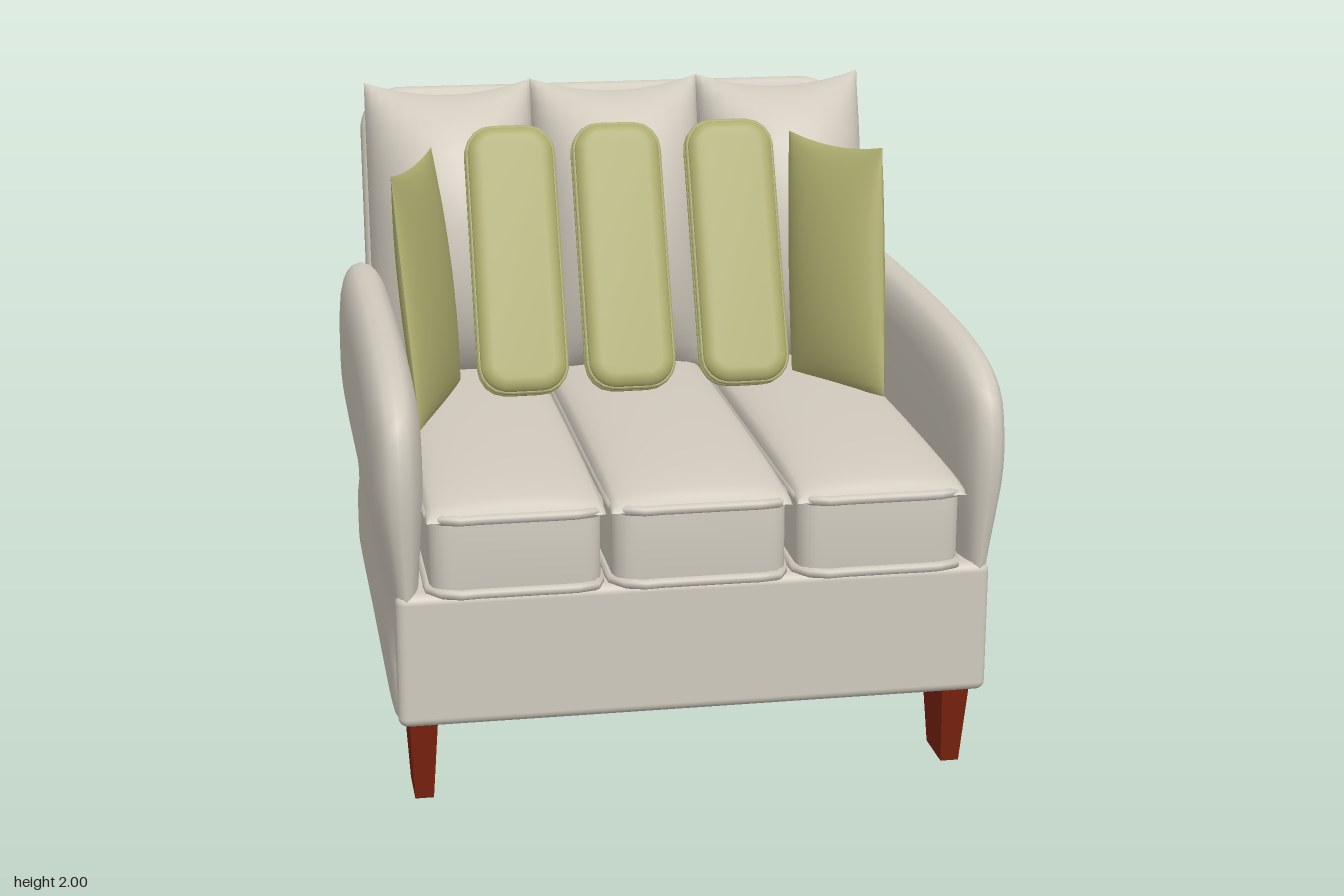
import * as THREE from 'three';
import { toCreasedNormals } from 'three/addons/utils/BufferGeometryUtils.js';
import { RoundedBoxGeometry } from 'three/addons/geometries/RoundedBoxGeometry.js';

const V = (x, y, z) => new THREE.Vector3(x, y, z);

// Rounded rectangle centred on the origin
function roundedRect(w, h, r) {
  const s = new THREE.Shape(), x = w / 2, y = h / 2, q = Math.PI / 2;
  s.absarc(x - r, y - r, r, 0, q);
  s.absarc(-x + r, y - r, r, q, 2 * q);
  s.absarc(-x + r, -y + r, r, 2 * q, 3 * q);
  s.absarc(x - r, -y + r, r, 3 * q, 4 * q);
  s.closePath();
  return s;
}

// Padded slab in the xy plane, centred in depth
function slabGeometry(w, h, r, thick, bevel, round) {
  const g = new THREE.ExtrudeGeometry(roundedRect(w - 2 * round, h - 2 * round, r), {
    depth: thick - 2 * bevel, bevelThickness: bevel, bevelSize: round, bevelSegments: 5, curveSegments: 8,
  });
  g.translate(0, 0, bevel - thick / 2);
  return toCreasedNormals(g, 0.8);
}

// Piped seam following a rounded rectangle
function pipingGeometry(w, h, r, radius) {
  const pts = roundedRect(w, h, r).getSpacedPoints(48).slice(0, -1).map((p) => V(p.x, p.y, 0));
  return new THREE.TubeGeometry(new THREE.CatmullRomCurve3(pts, true), 72, radius, 6, true);
}

// Knife-edged pillow stretched between four corners, bulging along its normal
function pillowGeometry([bl, br, tr, tl], front, back, { dip = 0, power = 0.55 } = {}) {
  const N = 16, pos = [], index = [];
  const normal = br.clone().sub(bl).cross(tl.clone().sub(bl)).normalize();
  const up = tl.clone().sub(bl).normalize();
  for (const depth of [front, -back]) {
    const base = pos.length / 3;
    for (let j = 0; j <= N; j++) for (let i = 0; i <= N; i++) {
      const u = Math.sin((i / N - 0.5) * Math.PI), v = Math.sin((j / N - 0.5) * Math.PI);
      const bulge = Math.pow(Math.max(0, (1 - u * u) * (1 - v * v)), power);
      const low = bl.clone().lerp(br, (u + 1) / 2), high = tl.clone().lerp(tr, (u + 1) / 2);
      const p = low.lerp(high, (v + 1) / 2).addScaledVector(normal, depth * bulge);
      p.addScaledVector(up, -dip * (1 - u * u) * Math.max(0, v));
      pos.push(p.x, p.y, p.z);
      if (i < N && j < N) {
        const a = base + j * (N + 1) + i, b = a + 1, c = a + N + 2, d = a + N + 1;
        index.push(...(depth === front ? [a, b, c, a, c, d] : [a, c, b, a, d, c]));
      }
    }
  }
  const g = new THREE.BufferGeometry();
  g.setAttribute('position', new THREE.Float32BufferAttribute(pos, 3));
  g.setIndex(index);
  g.computeVertexNormals();
  return g;
}

// Arm: side outline scaled in rings towards its middle, swelling sideways
function armGeometry() {
  const outline = new THREE.CatmullRomCurve3([
    [-0.81, 0.29], [-0.82, 0.7], [-0.835, 1.1], [-0.82, 1.25], [-0.74, 1.35], [-0.6, 1.39], [-0.2, 1.397],
    [0.2, 1.39], [0.6, 1.365], [0.82, 1.32], [0.93, 1.25], [0.97, 1.13], [0.975, 1.0], [0.95, 0.75],
    [0.92, 0.5], [0.91, 0.29], [0.86, 0.28], [0, 0.28], [-0.76, 0.28],
  ].map(([z, y]) => V(0, y, z)), true).getSpacedPoints(96).slice(0, -1);
  const M = outline.length, cy = 0.85, cz = 0.07;
  const scales = [0.001, 0.4, 0.65, 0.78, 0.86, 0.92, 0.96, 0.985, 1];
  const rings = [...scales.map((s) => [s, 1]), ...scales.slice(0, -1).reverse().map((s) => [s, -1])];
  const pos = [], index = [];
  rings.forEach(([s, side], k) => outline.forEach((p, i) => {
    const y = cy + (p.y - cy) * s, z = cz + (p.z - cz) * s;
    const swell = THREE.MathUtils.smoothstep(y, 0.6, 1.05);
    const half = 0.05 + 0.04 * swell, mid = 0.895 + 0.015 * swell;
    const n = p.y < 0.5 ? 26 : 8;
    pos.push(mid + side * half * Math.sqrt(1 - Math.pow(s, n)), y, z);
    if (k < rings.length - 1) {
      const j = (i + 1) % M, a = k * M + i, b = k * M + j, c = a + M, d = b + M;
      index.push(a, c, b, b, c, d);
    }
  }));
  const g = new THREE.BufferGeometry();
  g.setAttribute('position', new THREE.Float32BufferAttribute(pos, 3));
  g.setIndex(index);
  // keep the winding outwards
  const at = (i) => V().fromArray(pos, i * 3);
  let volume = 0;
  for (let i = 0; i < index.length; i += 3) volume += at(index[i]).dot(at(index[i + 1]).cross(at(index[i + 2])));
  if (volume < 0) g.setIndex(index.reverse());
  g.computeVertexNormals();
  return g;
}

export function createModel() {
  const group = new THREE.Group();
  group.name = 'sofa';
  const material = (name, color) => Object.assign(new THREE.MeshStandardMaterial({ color }), { name });
  const fabric = material('creamFabric', 0xd0cabd);
  const green = material('greenFabric', 0xacab6d);
  const wood = material('redWood', 0x7c220e);
  const add = (name, geometry, mat, parent = group) => {
    const mesh = new THREE.Mesh(geometry, mat);
    mesh.name = name;
    parent.add(mesh);
    return mesh;
  };

  // Base
  add('base', new RoundedBoxGeometry(1.86, 0.43, 1.725, 4, 0.03), fabric).position.set(0, 0.495, 0.0825);

  // Arms, the right one turned over from the left
  const arm = armGeometry();
  add('leftArm', arm, fabric);
  const mirrored = arm.clone().scale(-1, 1, 1);
  mirrored.setIndex([...mirrored.index.array].reverse());
  mirrored.computeVertexNormals();
  add('rightArm', mirrored, fabric);

  // Leaning back panel
  const back = add('backPanel', slabGeometry(1.76, 1.28, 0.12, 0.09, 0.035, 0.03), fabric);
  back.position.set(0, 1.315, -0.865);
  back.rotation.x = -0.135;

  // Back cushions
  for (const [x0, x1] of [[-0.875, -0.29], [-0.29, 0.305], [0.305, 0.895]]) {
    add('backCushion', pillowGeometry(
      [V(x0, 0.97, -0.55), V(x1, 0.97, -0.55), V(x1, 2, -0.75), V(x0, 2, -0.75)],
      0.32, 0.14, { dip: 0.05 }), fabric);
  }

  // Seat cushions: boxed side, domed top and two piped seams
  for (const [x0, x1] of [[-0.835, -0.29], [-0.275, 0.285], [0.3, 0.835]]) {
    const cushion = new THREE.Group(), w = x1 - x0, z0 = -0.7, z1 = 0.975, length = z1 - z0;
    cushion.name = 'seatCushion';
    group.add(cushion);
    const lay = (mesh, y) => {
      mesh.position.set((x0 + x1) / 2, y, (z0 + z1) / 2);
      mesh.rotation.x = -Math.PI / 2;
    };
    lay(add('cushionSide', slabGeometry(w - 0.02, length - 0.02, 0.05, 0.26, 0.02, 0.015), fabric, cushion), 0.835);
    for (const y of [0.72, 0.955]) lay(add('cushionPiping', pipingGeometry(w - 0.02, length, 0.06, 0.016), fabric, cushion), y);
    add('cushionTop', pillowGeometry(
      [V(x0, 0.95, z1), V(x1, 0.95, z1), V(x1, 0.95, z0), V(x0, 0.95, z0)],
      0.095, 0.01, { power: 0.28 }), fabric, cushion);
  }

  // Three narrow leaning pillows
  for (const x of [-0.415, -0.05, 0.342]) {
    const pillow = new THREE.Group();
    pillow.name = 'narrowPillow';
    pillow.position.set(x, 1.475, -0.19);
    pillow.rotation.x = -0.42;
    group.add(pillow);
    add('pillowBody', slabGeometry(0.295, 0.91, 0.05, 0.1, 0.035, 0.045), green, pillow);
    for (const z of [-0.018, 0.018]) add('pillowPiping', pipingGeometry(0.29, 0.905, 0.085, 0.009), green, pillow).position.z = z;
  }

  // Corner pillows resting against the arms
  add('rightCornerPillow', pillowGeometry(
    [V(-0.79, 1.03, 0.27), V(-0.6, 1.03, -0.3), V(-0.67, 1.82, -0.46), V(-0.85, 1.83, 0.09)],
    0.06, 0.06, { dip: 0.02 }), green);
  add('leftCornerPillow', pillowGeometry(
    [V(0.55, 1.03, -0.21), V(0.79, 1.03, 0.14), V(0.82, 1.84, -0.08), V(0.57, 1.85, -0.4)],
    0.08, 0.08, { dip: 0.025 }), green);

  // Tapered legs
  const leg = new THREE.BoxGeometry(0.09, 0.29, 0.25);
  const p = leg.attributes.position;
  for (let i = 0; i < p.count; i++) if (p.getY(i) < 0) p.setXYZ(i, p.getX(i) * 0.65, p.getY(i), p.getZ(i) * 0.66);
  leg.computeVertexNormals();
  for (const x of [-0.85, 0.85]) for (const z of [0.755, -0.535]) {
    add(z > 0 ? 'frontLeg' : 'backLeg', leg, wood).position.set(x, 0.145, z);
  }
  return group;
}
